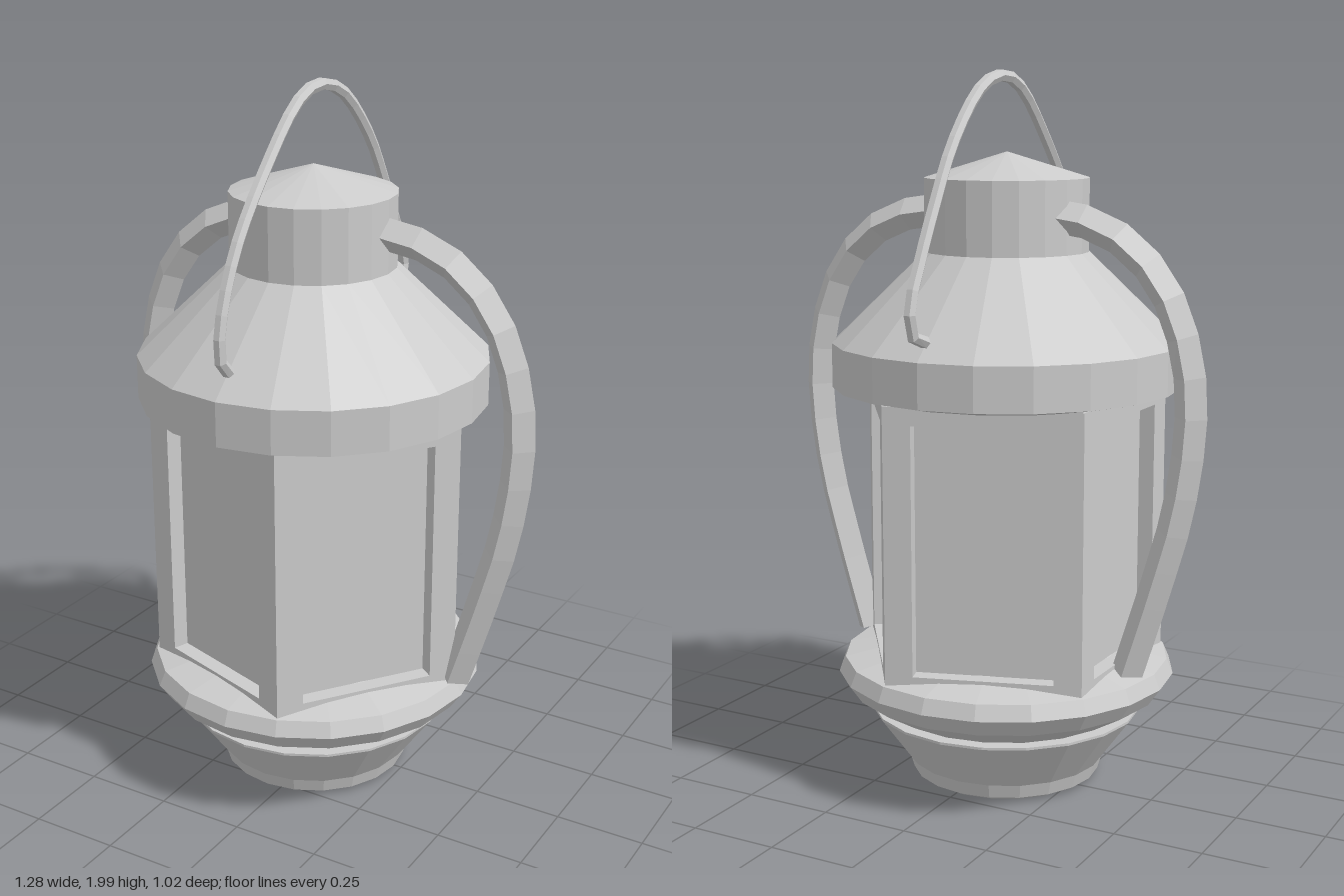
import * as THREE from 'three';

const SIDES = 20;
const CX = -0.03, CZ = 0.025; // axis of the lantern body
const mat = new THREE.MeshStandardMaterial({ color: 0xcccccc, flatShading: true });

const mesh = (name, geometry) => {
  const m = new THREE.Mesh(geometry, mat);
  m.name = name;
  return m;
};

const turned = (name, profile) =>
  mesh(name, new THREE.LatheGeometry(profile.map(([r, y]) => new THREE.Vector2(r, y)), SIDES));

// Rod swept along a smooth path, with closed ends
function rod(name, points, radius, sides, segments) {
  const g = new THREE.Group();
  g.name = name;
  const curve = new THREE.CatmullRomCurve3(points);
  const tube = new THREE.TubeGeometry(curve, segments, radius, sides);
  g.add(mesh(name + 'Rod', tube));
  const pos = tube.attributes.position;
  [0, segments].forEach((ring, end) => {
    const v = [];
    for (let i = 0; i < sides; i++) {
      const a = new THREE.Vector3().fromBufferAttribute(pos, ring * (sides + 1) + i);
      const b = new THREE.Vector3().fromBufferAttribute(pos, ring * (sides + 1) + i + 1);
      const c = points[end ? points.length - 1 : 0];
      const tri = end ? [c, b, a] : [c, a, b];
      const n = tri[1].clone().sub(c).cross(tri[2].clone().sub(c));
      const out = curve.getTangent(end).multiplyScalar(end ? 1 : -1);
      if (n.dot(out) < 0) tri.reverse();
      tri.forEach((p) => v.push(p.x, p.y, p.z));
    }
    const cap = new THREE.BufferGeometry();
    cap.setAttribute('position', new THREE.Float32BufferAttribute(v, 3));
    cap.computeVertexNormals();
    g.add(mesh(name + 'Cap', cap));
  });
  return g;
}

export function createModel() {
  const model = new THREE.Group();
  const body = new THREE.Group();
  body.name = 'body';
  body.position.set(CX, 0, CZ);
  model.add(body);

  // Flared foot, collar, and roof with chimney
  body.add(
    turned('foot', [[0, 0.005], [0.25, 0.01], [0.268, 0.02], [0.28, 0.06], [0.385, 0.205], [0.385, 0.212], [0, 0.212]]),
    turned('collar', [[0, 0.2], [0.335, 0.205], [0.445, 0.27], [0.48, 0.32], [0.462, 0.362], [0.3, 0.398], [0, 0.398]]),
    turned('roof', [[0, 1.11], [0.42, 1.125], [0.485, 1.14], [0.485, 1.262], [0.228, 1.51], [0.228, 1.71], [0, 1.78]])
  );

  // Five-sided housing: recessed panes behind framed openings
  const R = 0.455, depth = 0.05;
  const half = R * Math.sin(Math.PI / 5), apothem = R * Math.cos(Math.PI / 5);
  const paneR = (apothem - depth + 0.005) / Math.cos(Math.PI / 5);
  const panes = mesh('panes', new THREE.CylinderGeometry(paneR, paneR, 0.77, 5, 1, false, Math.PI / 2));
  panes.position.y = 0.745;
  body.add(panes);

  const rect = (Type, w, y0, y1) => new Type([[-w, y0], [w, y0], [w, y1], [-w, y1]].map((p) => new THREE.Vector2(...p)));
  const frameShape = rect(THREE.Shape, half, 0.34, 1.13);
  frameShape.holes.push(rect(THREE.Path, half - 0.076, 0.392, 1.08));
  const frameGeo = new THREE.ExtrudeGeometry(frameShape, { depth, bevelEnabled: false });
  frameGeo.translate(0, 0, apothem - depth);
  for (let i = 0; i < 5; i++) {
    const frame = mesh('windowFrame', frameGeo);
    frame.rotation.y = THREE.MathUtils.degToRad(-18 + 72 * i);
    body.add(frame);
  }

  // Side arms with a diamond section; the second leans slightly off the axis
  const arm = [[0.18, 1.617], [0.34, 1.585], [0.485, 1.47], [0.565, 1.305], [0.592, 1.12], [0.565, 0.86], [0.5, 0.615], [0.425, 0.37]];
  model.add(
    rod('leftArm', arm.map(([x, y]) => new THREE.Vector3(x, y, 0.02)), 0.045, 4, 14),
    rod('rightArm', arm.map(([x, y]) => new THREE.Vector3(-x - 0.005, y, -0.048 + 0.063 * x)), 0.045, 4, 14)
  );

  // Carrying bail over the top
  const bail = [[0.44, 1.315], [0.475, 1.345], [0.482, 1.43], [0.41, 1.62], [0.25, 1.82], [0.1, 1.955], [0, 1.983],
    [-0.12, 1.95], [-0.27, 1.81], [-0.37, 1.65], [-0.45, 1.5], [-0.493, 1.4], [-0.478, 1.33], [-0.42, 1.31]];
  model.add(rod('bail', bail.map(([z, y]) => new THREE.Vector3(CX, y, z)), 0.017, 6, 30));

  return model;
}
